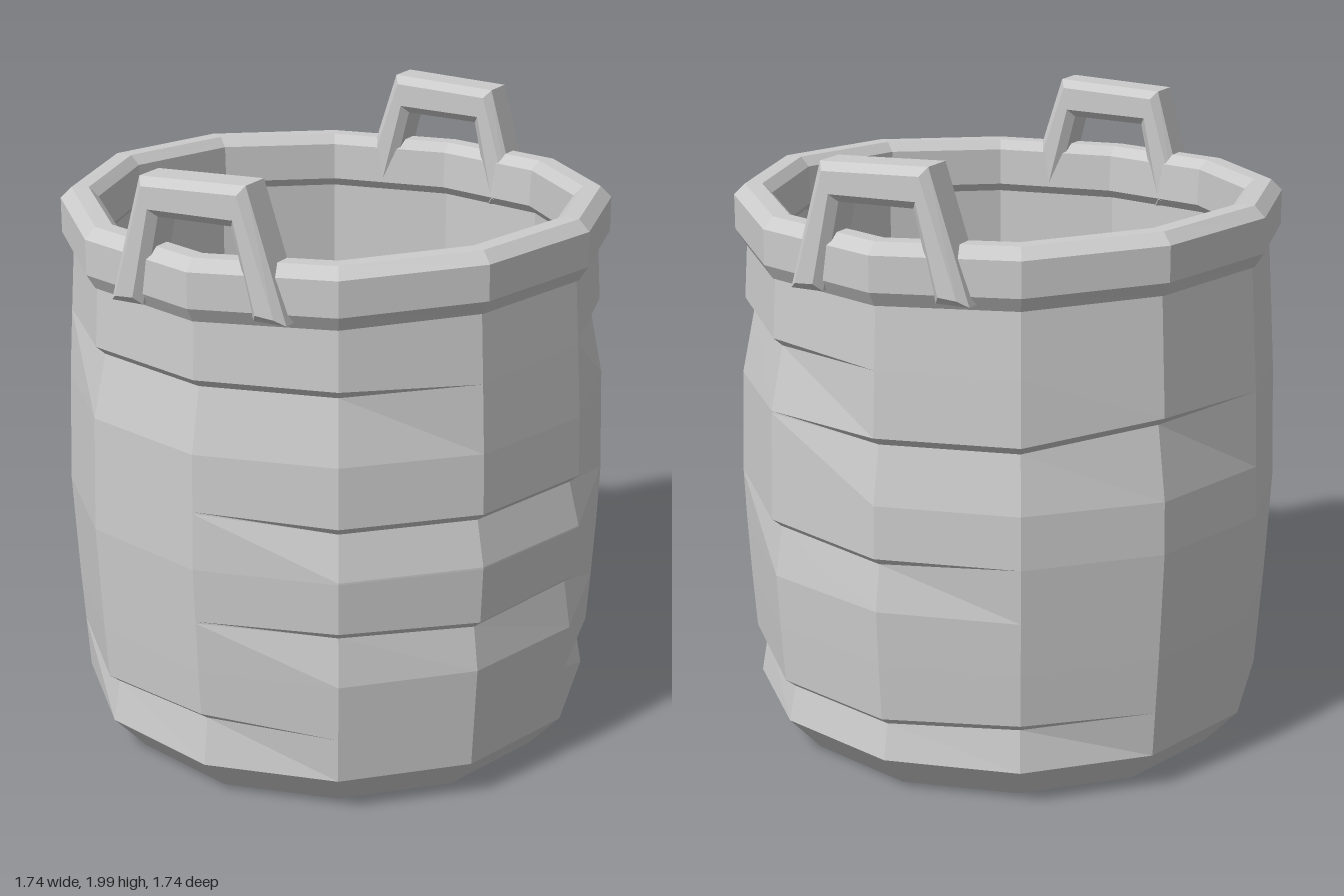
import * as THREE from 'three';

const SIDES = 12;
const material = new THREE.MeshStandardMaterial({ color: 0xcccccc, flatShading: true });

// Outer wall radius at a given height
const WALL = [[0.13, 0.83], [0.46, 0.853], [0.8, 0.872], [1.2, 0.86], [1.64, 0.832]];
function wallRadius(y) {
  for (let i = 1; i < WALL.length; i++) {
    const [y0, r0] = WALL[i - 1], [y1, r1] = WALL[i];
    if (y <= y1) return r0 + (r1 - r0) * (y - y0) / (y1 - y0);
  }
  return WALL[WALL.length - 1][1];
}

// Carved ledges: height, columns cut in (0 = front, 3 = left side, 6 = back), and local height shifts
const LEDGES = [
  { y: 0.28, cut: [11, 0, 4, 5, 6, 7], shift: { 0: 0.02, 3: 0.04, 10: 0.02, 5: -0.02, 6: -0.02 } },
  { y: 0.63, cut: [1, 2, 3], shift: { 2: -0.015, 4: 0.03 } },
  { y: 0.81, cut: [5, 6], shift: { 4: 0.03, 6: -0.015 } },
  { y: 0.97, cut: [1, 2, 3], shift: { 0: 0.02, 4: 0.06 } },
  { y: 1.17, cut: [6, 7, 8], shift: { 8: 0.05, 9: 0.05 } },
  { y: 1.39, cut: [0, 1, 11, 4, 5], shift: { 3: 0.02, 4: 0.02 } },
];

// Twelve-sided turned form whose points are moved by a rule (column, row) => [radius, height]
function facetedLathe(name, rows, rule) {
  const points = Array.from({ length: rows }, (_, j) => new THREE.Vector2(1, j));
  const geometry = new THREE.LatheGeometry(points, SIDES);
  const position = geometry.attributes.position;
  for (let i = 0; i <= SIDES; i++) {
    const angle = i * Math.PI * 2 / SIDES;
    for (let j = 0; j < rows; j++) {
      const [r, y] = rule(i % SIDES, j);
      position.setXYZ(i * rows + j, r * Math.sin(angle), y, r * Math.cos(angle));
    }
  }
  const flat = geometry.toNonIndexed();
  flat.computeVertexNormals();
  const mesh = new THREE.Mesh(flat, material);
  mesh.name = name;
  return mesh;
}

// Rows of the outer shell from the base centre upward
function shellRows() {
  const fixed = (r, y) => () => [r, y];
  const rows = [fixed(0, 0.01), fixed(0.72, 0.01), fixed(0.83, 0.13)];
  for (const { y, cut, shift } of LEDGES) {
    if (y === 0.63) rows.push(fixed(wallRadius(0.46), 0.46));
    const height = (i) => y + (shift[i] || 0);
    rows.push((i) => {
      const deep = cut.includes(i);
      const low = height(i) - (deep ? 0.015 : 0.003);
      return [wallRadius(low) - (deep ? 0.032 : 0), low];
    });
    rows.push((i) => {
      const high = height(i) + (cut.includes(i) ? 0.012 : 0.003);
      return [wallRadius(high), high];
    });
  }
  rows.push(fixed(0.832, 1.64));
  return rows;
}

// Handle frame with splayed legs, bevelled all round
function createHandle(name) {
  const b = 0.025;
  const outline = [[-0.3, 1.595], [-0.19, 1.595], [-0.13, 1.87], [0.12, 1.875],
    [0.19, 1.605], [0.3, 1.605], [0.17, 2], [-0.19, 1.985]];
  const shape = new THREE.Shape(outline.map(([x, y]) => new THREE.Vector2(x, y)));
  const geometry = new THREE.ExtrudeGeometry(shape, {
    depth: 0.15 - 2 * b, bevelEnabled: true, bevelSegments: 1,
    bevelSize: b, bevelOffset: -b, bevelThickness: b,
  });
  geometry.translate(0, 0, 0.69 + b);
  const mesh = new THREE.Mesh(geometry, material);
  mesh.name = name;
  return mesh;
}

export function createModel() {
  const model = new THREE.Group();
  model.name = 'basket';

  // Outer shell with ledges
  const rows = shellRows();
  model.add(facetedLathe('outerShell', rows.length, (i, j) => rows[j](i)));

  // Inner wall and floor
  const inside = [[0.77, 1.66], [0.765, 0.8], [0.715, 0.13], [0, 0.13]];
  model.add(facetedLathe('innerWall', inside.length, (i, j) => inside[j]));

  // Chamfered rim, slightly higher at the sides than at front and back
  const rim = [[0.78, 1.595], [0.842, 1.595], [0.87, 1.64], [0.87, 1.75], [0.835, 1.785],
    [0.78, 1.785], [0.75, 1.755], [0.745, 1.635], [0.78, 1.595]];
  model.add(facetedLathe('rim', rim.length, (i, j) => {
    const wave = -0.014 * Math.cos(i * Math.PI * 4 / SIDES);
    return [rim[j][0], rim[j][1] + wave];
  }));

  // Front and back handles
  const front = createHandle('frontHandle');
  const back = createHandle('backHandle');
  back.rotation.y = Math.PI;
  model.add(front, back);
  return model;
}
